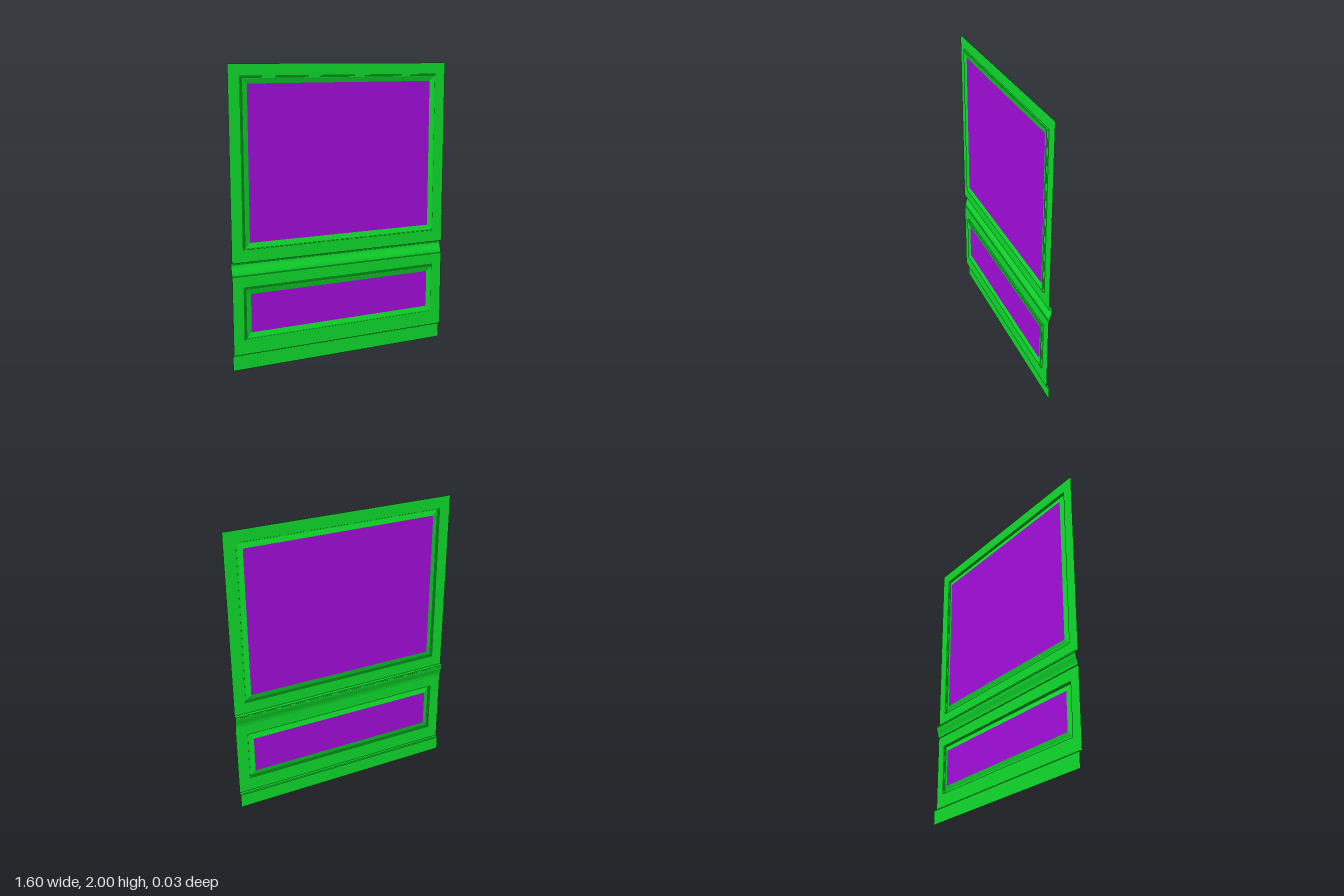
import * as THREE from 'three';

const green = new THREE.MeshStandardMaterial({ color: 0x10e02e, side: THREE.DoubleSide, flatShading: true });
const purple = new THREE.MeshStandardMaterial({ color: 0xa60de0, side: THREE.DoubleSide });

const HALF = 0.8;      // half width of the wall sheet
const WALL = 0.006;    // depth of the flat wall
const DEEP = 0.017;    // bottom of the panel grooves
const FIELD = 0.008;   // depth of the coloured fields

// Sheet between successive loops of points; all faces are separate for crisp edges
function loft(loops, closed) {
  const pos = [];
  for (let i = 0; i + 1 < loops.length; i++) {
    const a = loops[i], b = loops[i + 1], n = a.length;
    for (let j = 0; j < (closed ? n : n - 1); j++) {
      const k = (j + 1) % n;
      pos.push(...a[j], ...a[k], ...b[k], ...a[j], ...b[k], ...b[j]);
    }
  }
  const geo = new THREE.BufferGeometry();
  geo.setAttribute('position', new THREE.Float32BufferAttribute(pos, 3));
  geo.computeVertexNormals();
  return geo;
}

// Rectangle corners, counter-clockwise from the front
const rect = (w, y0, y1, z) => [[-w, y0, z], [w, y0, z], [w, y1, z], [-w, y1, z]];

// Profile of [y, z] from bottom to top, swept across the full width
const sweep = (profile) =>
  loft(profile.map(([y, z]) => [[-HALF, y, z], [HALF, y, z]]), false);

export function createModel() {
  const root = new THREE.Group();
  const add = (name, geo, mat, parent = root) => {
    const mesh = new THREE.Mesh(geo, mat);
    mesh.name = name;
    parent.add(mesh);
  };

  // Flat wall section with one rectangular opening, plus its moulding and field
  function section(name, y0, y1, p0, p1) {
    const group = new THREE.Group();
    group.name = name;
    root.add(group);

    const toPoints = (corners) => corners.map(([x, y]) => new THREE.Vector2(x, y));
    const shape = new THREE.Shape(toPoints(rect(HALF, y0, y1, 0)));
    shape.holes.push(new THREE.Path(toPoints(rect(0.72, p0, p1, 0))));
    add('wallSheet', new THREE.ShapeGeometry(shape).translate(0, 0, WALL), green, group);

    // Groove: steep outer step, narrow floor, then a slope to the field
    const steps = [[0, WALL], [0.002, 0.013], [0.006, 0.013], [0.008, DEEP], [0.014, DEEP], [0.046, FIELD]];
    const loops = steps.map(([d, z]) => rect(0.72 - d, p0 + d, p1 - d, z));
    add('panelMoulding', loft(loops, true), green, group);

    const w = 0.72 - 0.046, h = p1 - p0 - 0.092;
    add('panelField', new THREE.PlaneGeometry(2 * w, h).translate(0, (p0 + p1) / 2, FIELD), purple, group);
  }
  section('upperSection', 0.73, 2, 0.812, 1.922);
  section('lowerSection', 0.108, 0.64, 0.21, 0.562);

  // Rail: small lower lip, curved cove, narrow face and flat top ledge
  const rail = [[0.64, WALL], [0.642, 0.002]];
  for (let i = 0; i <= 8; i++) {
    const t = i / 8;
    rail.push([0.645 + 0.073 * t, 0.001 - 0.016 * t * t * (3 - 2 * t)]);
  }
  rail.push([0.72, -DEEP], [0.73, -DEEP], [0.73, WALL]);
  add('chairRail', sweep(rail), green);

  // Baseboard with a bevelled top
  add('baseboard', sweep([[0, -0.013], [0.1, -0.013], [0.106, -0.008], [0.108, WALL]]), green);

  return root;
}
